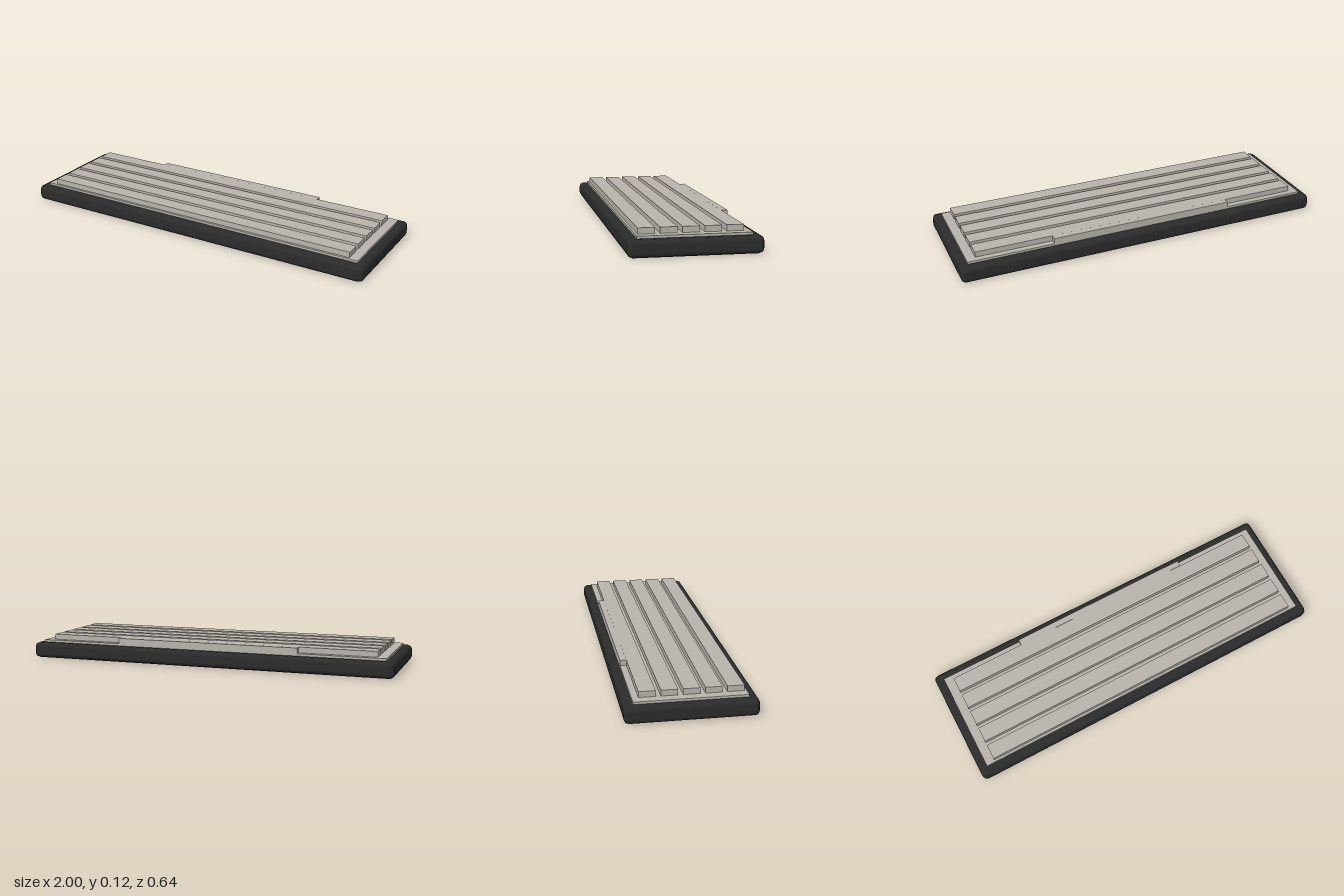
import * as THREE from 'three';
import { RoundedBoxGeometry } from 'three/addons/geometries/RoundedBoxGeometry.js';

const caseMaterial = new THREE.MeshStandardMaterial({ name: 'charcoal case', color: 0x2b2b2b });
const keyMaterial = new THREE.MeshStandardMaterial({ name: 'warm grey keys', color: 0xb8b4ac });

export function createModel() {
  const keyboard = new THREE.Group();
  keyboard.name = 'keyboard';

  const add = (name, geometry, material, y, z = 0) => {
    const mesh = new THREE.Mesh(geometry, material);
    mesh.name = name;
    mesh.position.set(0, y, z);
    keyboard.add(mesh);
  };
  // Box placed by its bottom and top heights and its back and front edges
  const addSlab = (name, width, bottom, top, back, front) =>
    add(name, new THREE.BoxGeometry(width, top - bottom, front - back), keyMaterial,
      (bottom + top) / 2, (back + front) / 2);

  // Case with softly bevelled edges
  const caseHeight = 0.084;
  add('case', new RoundedBoxGeometry(2, caseHeight, 0.636, 1, 0.024), caseMaterial, caseHeight / 2);

  // Deck under the keys
  const deckTop = 0.096, keyTop = 0.125;
  addSlab('deck', 1.91, 0.07, deckTop, -0.272, 0.272);

  // Five rows of keys, front to back
  for (let i = 0; i < 5; i++) {
    const front = 0.26 - i * 0.1047;
    addSlab(`keyRow${i + 1}`, 1.814, deckTop, keyTop, front - 0.081, front);
  }

  // Short bar along the back edge, behind the last row
  addSlab('backBar', 1, deckTop, keyTop, -0.272, -0.24);

  return keyboard;
}
